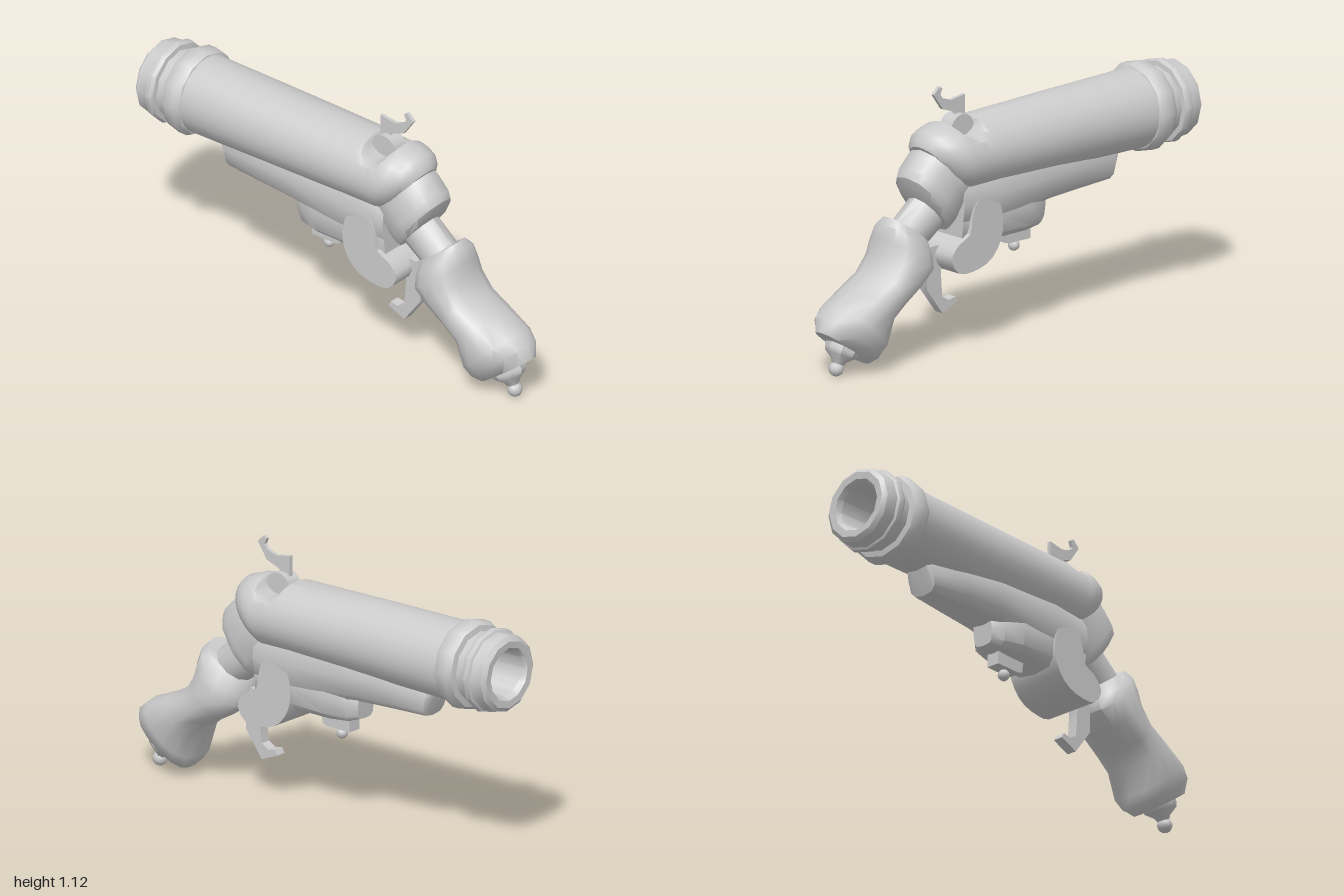
import * as THREE from 'three';
import { toCreasedNormals } from 'three/addons/utils/BufferGeometryUtils.js';

const material = new THREE.MeshStandardMaterial({ color: 0xcccccc });

function part(group, name, geometry, crease = 0.7) {
  const mesh = new THREE.Mesh(crease ? toCreasedNormals(geometry, crease) : geometry, material);
  mesh.name = name;
  group.add(mesh);
  return mesh;
}

// Skin through rings [zTop, yTop, zBottom, yBottom, halfWidth]; power < 1 squares the rings off
function loft(rings, sides = 16, power = 1, rule = null) {
  const pos = [], index = [];
  const bend = (v) => Math.sign(v) * Math.pow(Math.abs(v), power);
  for (const [zt, yt, zb, yb, w] of rings) {
    for (let i = 0; i < sides; i++) {
      const a = (i / sides) * Math.PI * 2;
      const c = bend(Math.cos(a)) / 2;
      const z = (zt + zb) / 2 + (zt - zb) * c;
      const y = (yt + yb) / 2 + (yt - yb) * c;
      pos.push(w * bend(Math.sin(a)), rule ? rule(y, z) : y, z);
    }
  }
  const last = (rings.length - 1) * sides;
  for (let r = 0; r < last; r += sides) {
    for (let i = 0; i < sides; i++) {
      const j = (i + 1) % sides;
      index.push(r + i, r + sides + i, r + j, r + j, r + sides + i, r + sides + j);
    }
  }
  // end caps
  [rings[0], rings[rings.length - 1]].forEach(([zt, yt, zb, yb], end) => {
    const centre = pos.length / 3, base = end ? last : 0;
    pos.push(0, (yt + yb) / 2, (zt + zb) / 2);
    for (let i = 0; i < sides; i++) {
      const a = base + i, b = base + (i + 1) % sides;
      index.push(centre, end ? b : a, end ? a : b);
    }
  });
  const g = new THREE.BufferGeometry();
  g.setAttribute('position', new THREE.Float32BufferAttribute(pos, 3));
  g.setIndex(index);
  g.computeVertexNormals();
  return g;
}

// Side outline of [z, y] points given thickness across x
function plate(points, thickness, smooth = false) {
  const pts = points.map(([z, y]) => new THREE.Vector2(z, y));
  let shape = new THREE.Shape(pts);
  if (smooth) {
    const curve = new THREE.CatmullRomCurve3(pts.map((p) => new THREE.Vector3(p.x, p.y, 0)), true);
    shape = new THREE.Shape(curve.getPoints(28).slice(0, -1).map((p) => new THREE.Vector2(p.x, p.y)));
  }
  const g = new THREE.ExtrudeGeometry(shape, { depth: thickness, bevelEnabled: false });
  g.translate(0, 0, -thickness / 2);
  g.rotateY(-Math.PI / 2);
  return g;
}

const lathe = (points, sides) =>
  new THREE.LatheGeometry(points.map(([r, h]) => new THREE.Vector2(r, h)), sides);

export function createModel() {
  const model = new THREE.Group();

  // Muzzle with bore and two raised rings
  const muzzle = lathe([
    [0, -0.45], [0.095, -0.45], [0.1, -0.975], [0.115, -0.998], [0.145, -1], [0.163, -0.985],
    [0.168, -0.93], [0.178, -0.925], [0.181, -0.905], [0.174, -0.888], [0.153, -0.885],
    [0.153, -0.84], [0.178, -0.835], [0.191, -0.81], [0.191, -0.77], [0.178, -0.745], [0.165, -0.74],
  ], 12);
  muzzle.rotateX(Math.PI / 2);
  part(model, 'muzzle', muzzle).position.y = 0.825;

  // Barrel tube with a slanted, rounded breech and a scooped hammer slot
  const scoop = (y, z) => {
    const d = 0.072 ** 2 - (z - 0.235) ** 2;
    return d > 0 ? Math.min(y, 0.978 - Math.sqrt(d)) : y;
  };
  const barrelRings = [[-0.75, 0.993, -0.75, 0.655, 0.17], [-0.3, 0.985, -0.3, 0.662, 0.17]];
  const slot = [0.155, 0.164, 0.17, 0.185, 0.21, 0.235, 0.26, 0.285, 0.3, 0.306, 0.315];
  slot.forEach((z, i) => barrelRings.push([z, 0.974, 0.14 + i * 0.011, 0.67, 0.17]));
  barrelRings.push(
    [0.36, 0.965, 0.262, 0.675, 0.166], [0.41, 0.948, 0.275, 0.68, 0.15],
    [0.438, 0.92, 0.285, 0.685, 0.13], [0.445, 0.89, 0.295, 0.695, 0.11]);
  part(model, 'barrel', loft(barrelRings, 24, 1, scoop));

  // Neck behind the breech and the thin stem to the grip
  part(model, 'neck', loft([
    [0.4, 0.9, 0.2, 0.64, 0.12], [0.45, 0.865, 0.25, 0.6, 0.125], [0.505, 0.81, 0.3, 0.55, 0.125],
    [0.52, 0.775, 0.325, 0.53, 0.12], [0.5, 0.715, 0.335, 0.52, 0.1],
  ], 12, 0.85));
  part(model, 'stem', loft([
    [0.42, 0.72, 0.3, 0.57, 0.08], [0.58, 0.59, 0.46, 0.46, 0.08],
  ], 10));

  // Grip
  part(model, 'grip', loft([
    [0.615, 0.625, 0.43, 0.485, 0.085], [0.64, 0.598, 0.424, 0.42, 0.12],
    [0.655, 0.54, 0.43, 0.37, 0.138], [0.665, 0.475, 0.51, 0.315, 0.142],
    [0.71, 0.405, 0.61, 0.26, 0.145], [0.81, 0.352, 0.67, 0.21, 0.146],
    [0.93, 0.302, 0.695, 0.09, 0.145], [0.98, 0.265, 0.72, 0.05, 0.125],
    [1.0, 0.208, 0.755, 0.03, 0.08],
  ], 14, 0.85), 0.9);

  // Pommel finial
  const pommel = new THREE.Group();
  pommel.name = 'pommel';
  part(pommel, 'pommelCap', lathe([
    [0, 0.11], [0.02, 0.1], [0.035, 0.075], [0.068, 0.05], [0.075, 0.03], [0.068, -0.02],
  ].reverse(), 8));
  part(pommel, 'pommelBall', new THREE.SphereGeometry(0.032, 10, 8), 0).position.y = 0.113;
  pommel.position.set(0, 0.14, 0.864);
  pommel.rotation.x = Math.PI - 0.42;
  model.add(pommel);

  // Frame under the barrel: long forearm and deeper lock housing
  part(model, 'forearm', loft([
    [-0.63, 0.7, -0.62, 0.65, 0.05], [-0.61, 0.72, -0.58, 0.557, 0.07], [-0.4, 0.76, -0.4, 0.555, 0.1],
    [-0.22, 0.78, -0.22, 0.55, 0.12], [0.1, 0.8, 0.1, 0.5, 0.13], [0.3, 0.76, 0.3, 0.52, 0.12],
  ], 12, 0.65));
  part(model, 'lockHousing', loft([
    [-0.22, 0.58, -0.21, 0.46, 0.05], [-0.17, 0.62, -0.17, 0.446, 0.085], [-0.08, 0.66, -0.08, 0.442, 0.115],
    [0.12, 0.68, 0.12, 0.442, 0.12], [0.3, 0.66, 0.3, 0.46, 0.11],
  ], 12, 0.55));

  // Kidney-shaped side cover running across the frame
  part(model, 'lockCover', plate([
    [0.19, 0.652], [0.115, 0.62], [0.092, 0.55], [0.1, 0.46], [0.16, 0.38], [0.25, 0.35],
    [0.335, 0.355], [0.378, 0.42], [0.34, 0.475], [0.275, 0.51], [0.262, 0.58], [0.24, 0.635],
  ], 0.25, true));

  // Small lug and ball under the housing
  part(model, 'lug', plate([[0.005, 0.46], [-0.005, 0.4], [-0.03, 0.392], [-0.152, 0.392], [-0.152, 0.46]], 0.06));
  part(model, 'lugBall', new THREE.SphereGeometry(0.025, 10, 8), 0).position.set(0, 0.37, -0.085);

  // Trigger
  part(model, 'trigger', plate([
    [0.4, 0.46], [0.422, 0.38], [0.422, 0.28], [0.335, 0.165], [0.25, 0.2], [0.262, 0.222],
    [0.3, 0.215], [0.335, 0.235], [0.34, 0.28], [0.345, 0.36], [0.33, 0.46],
  ], 0.045));

  // Hammer blade on its drum
  const drum = new THREE.CylinderGeometry(0.066, 0.066, 0.07, 16);
  drum.rotateZ(Math.PI / 2);
  part(model, 'hammerDrum', drum).position.set(0, 0.933, 0.235);
  part(model, 'hammer', plate([
    [0.37, 1.1], [0.337, 1.13], [0.322, 1.12], [0.333, 1.095], [0.318, 1.075], [0.27, 1.06],
    [0.195, 1.072], [0.195, 0.98], [0.25, 0.98], [0.25, 1.005], [0.32, 1.03], [0.345, 1.065],
  ], 0.016));

  return model;
}
